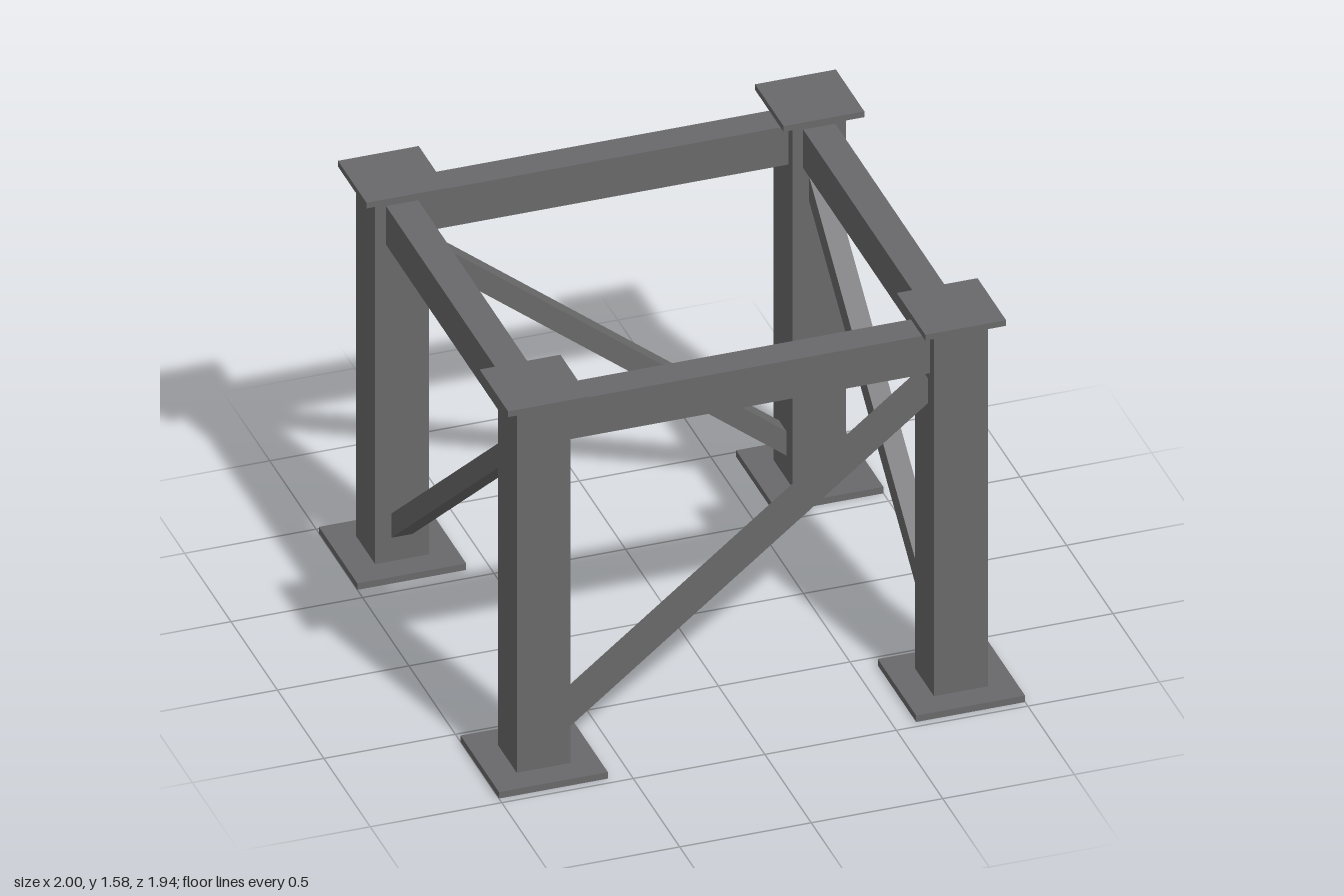
import * as THREE from 'three';

export function createModel() {
  const steel = new THREE.MeshStandardMaterial({ color: 0x69696b });
  steel.name = 'grey steel';

  const model = new THREE.Group();
  model.name = 'steelSupportFrame';

  const PX = 0.793, PZ = 0.763;      // post centres
  const POST = 0.205, HEIGHT = 1.583;
  const BASE = 0.414, BASE_T = 0.027;
  const CAP = 0.307, CAP_T = 0.024;

  function box(name, parent, w, h, d, x, y, z) {
    const mesh = new THREE.Mesh(new THREE.BoxGeometry(w, h, d), steel);
    mesh.name = name;
    mesh.position.set(x, y, z);
    parent.add(mesh);
    return mesh;
  }

  // Four posts with base plates and smaller cap plates
  for (const sx of [-1, 1]) {
    for (const sz of [-1, 1]) {
      const leg = new THREE.Group();
      leg.name = (sz > 0 ? 'front' : 'back') + (sx > 0 ? 'Left' : 'Right') + 'Leg';
      leg.position.set(sx * PX, 0, sz * PZ);
      const postH = HEIGHT - BASE_T - CAP_T;
      box('basePlate', leg, BASE, BASE_T, BASE, 0, BASE_T / 2, 0);
      box('post', leg, POST, postH, POST, 0, BASE_T + postH / 2, 0);
      box('capPlate', leg, CAP, CAP_T, CAP, 0, HEIGHT - CAP_T / 2, 0);
      model.add(leg);
    }
  }

  // Diagonal brace with ends cut vertically to meet the posts
  function brace(halfSpan) {
    const depth = 0.08;
    const shape = new THREE.Shape([
      new THREE.Vector2(-halfSpan, 0.125),
      new THREE.Vector2(halfSpan, 1.222),
      new THREE.Vector2(halfSpan, 1.324),
      new THREE.Vector2(-halfSpan, 0.227),
    ]);
    const geo = new THREE.ExtrudeGeometry(shape, { depth, bevelEnabled: false });
    geo.translate(0, 0, -depth / 2);
    const mesh = new THREE.Mesh(geo, steel);
    mesh.name = 'diagonalBrace';
    return mesh;
  }

  // One top beam and one rising brace per side, turned around the frame
  ['front', 'left', 'back', 'right'].forEach((name, i) => {
    const along = i % 2 === 0 ? PX : PZ;
    const out = i % 2 === 0 ? PZ : PX;
    const halfSpan = along - POST / 2;
    const side = new THREE.Group();
    side.name = name + 'Side';
    const panel = new THREE.Group();
    panel.name = name + 'Panel';
    panel.position.z = out;
    box('topBeam', panel, halfSpan * 2, 0.162, 0.122, 0, 1.44, 0);
    panel.add(brace(halfSpan));
    side.add(panel);
    side.rotation.y = i * Math.PI / 2;
    model.add(side);
  });

  return model;
}
